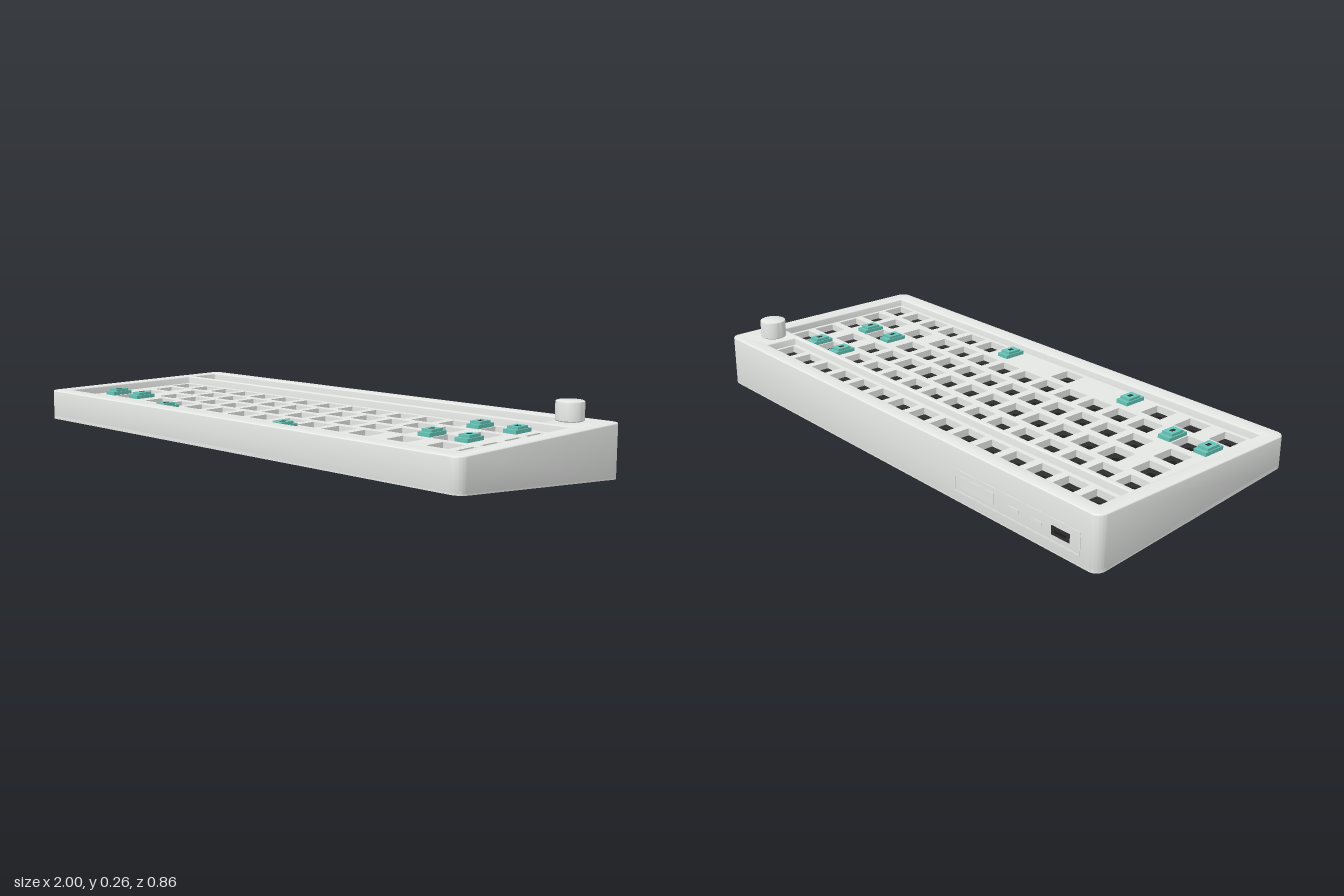
import * as THREE from 'three';
import { mergeGeometries, toCreasedNormals } from 'three/addons/utils/BufferGeometryUtils.js';

const U = 0.1172, FIRST = -0.879; // key pitch and first column centre
const TOP = 0.19, PLATE = 0.163, BOARD = 0.137;
const slope = z => 0.0415 + 0.0915 * z; // height of the tilted underside

const mat = (name, color) => Object.assign(new THREE.MeshStandardMaterial({ color }), { name });

// Rounded rectangle in plan; shape y is -z
function roundRect(x0, x1, z0, z1, r, Type = THREE.Shape) {
  const p = new Type(), a = -z1, b = -z0;
  p.moveTo(x0 + r, a);
  p.lineTo(x1 - r, a);
  p.absarc(x1 - r, a + r, r, -Math.PI / 2, 0);
  p.absarc(x1 - r, b - r, r, 0, Math.PI / 2);
  p.absarc(x0 + r, b - r, r, Math.PI / 2, Math.PI);
  p.absarc(x0 + r, a + r, r, Math.PI, Math.PI * 1.5);
  return p;
}

// Extrude a plan shape upward from y = 0
function slab(shape, height, bevel = 0) {
  const g = new THREE.ExtrudeGeometry(shape, {
    depth: height - 2 * bevel, curveSegments: 6, bevelEnabled: bevel > 0,
    bevelSize: bevel, bevelThickness: bevel, bevelOffset: -bevel, bevelSegments: 3,
  });
  g.translate(0, 0, bevel);
  g.rotateX(-Math.PI / 2);
  return g;
}

function mapY(g, rule) {
  const p = g.attributes.position;
  for (let i = 0; i < p.count; i++) p.setY(i, rule(p.getY(i), p.getZ(i)));
  g.computeVertexNormals();
  return toCreasedNormals(g, 0.6);
}

function box(w, h, d, x, y, z) {
  return new THREE.BoxGeometry(w, h, d).translate(x, y, z);
}

// Key centres per row, in key pitches from the first column
function layout() {
  const run = (start, n) => Array.from({ length: n }, (_, i) => start + i);
  const rows = [
    [-0.31, run(0, 15)],
    [-0.162, [...run(0, 13), 13.5, 15]],
    [-0.045, [0.25, ...run(1.5, 12), 13.75]],
    [0.073, [0.375, ...run(1.75, 11), 13.375, 15]],
    [0.19, [0.625, ...run(2.25, 10), 12.625, 14]],
    [0.307, [0.125, 1.375, 2.625, 6.375, ...run(10, 6)]],
  ];
  return rows.flatMap(([z, cols]) => cols.map(c => [FIRST + c * U, z]));
}

export function createModel() {
  const group = new THREE.Group();
  const shell = mat('shell grey', 0xe7e9e7);
  const dark = mat('socket charcoal', 0x2d2d2d);
  const black = mat('hub black', 0x1c1c1c);
  const teal = mat('stabilizer teal', 0x66c4b6);
  const add = (name, geometry, material) => {
    const m = new THREE.Mesh(geometry, material);
    m.name = name;
    group.add(m);
    return m;
  };

  // Wedge case with two openings, whose edges widen by the bevel at the top
  const e = 0.004;
  const outline = roundRect(-1, 1, -0.43, 0.43, 0.035);
  outline.holes.push(
    roundRect(-0.95 + e, 0.82 - e, -0.378 + e, -0.245 - e, 0.006, THREE.Path),
    roundRect(-0.95 + e, 0.94 - e, -0.232 + e, 0.37 - e, 0.006, THREE.Path));
  add('case', mapY(slab(outline, TOP, e), (y, z) => (y < 0.1 ? slope(z) + y : y)), shell);

  // Tilted bottom cover
  add('bottomCover', mapY(slab(roundRect(-1, 1, -0.43, 0.43, 0.035), 0.012),
    (y, z) => slope(z) - 0.001 + y), shell);

  // Rubber feet follow the slope
  for (const x of [-0.832, 0.832]) for (const z of [-0.328, 0.354]) {
    add('foot', mapY(slab(roundRect(x - 0.088, x + 0.088, z - 0.018, z + 0.018, 0.006), 0.01),
      (y, zz) => slope(zz) - 0.004 + y), dark);
  }

  // Mounting plate with a square cutout for each key
  const keys = layout();
  for (const z of [-0.045, 0.19]) keys.push([FIRST + 15 * U, z]);
  const plateShape = roundRect(-0.97, 0.97, -0.4, 0.4, 0.01);
  const h = 0.043;
  for (const [x, z] of keys) {
    plateShape.holes.push(roundRect(x - h, x + h, z - h, z + h, 0.002, THREE.Path));
  }
  add('mountingPlate', slab(plateShape, PLATE - BOARD).translate(0, BOARD, 0), shell);

  // Circuit board with a hub under each cutout
  add('circuitBoard', box(1.93, 0.03, 0.79, 0, BOARD - 0.014, 0), dark);
  const hubs = keys.map(([x, z]) =>
    new THREE.CylinderGeometry(0.013, 0.013, 0.005, 12).translate(x, BOARD + 0.003, z));
  add('socketHubs', mergeGeometries(hubs), black);

  // Stabilizer pairs beside the wide keys: column, row depth, half spacing
  for (const [c, z, half] of [[13.5, -0.162, 0.63], [13.375, 0.073, 0.63], [0.625, 0.19, 0.63], [6.375, 0.307, 2.625]]) {
    for (const s of [-1, 1]) {
      const x = FIRST + (c + s * half) * U;
      const body = [
        box(0.05, 0.03, 0.086, x, PLATE - 0.002, z),
        box(0.042, 0.016, 0.056, x, PLATE + 0.014, z),
      ];
      add('stabilizer', mergeGeometries(body), teal);
      add('stabilizerSlot', box(0.013, 0.004, 0.02, x, PLATE + 0.0205, z), dark);
    }
  }

  // Rotary knob on a short stem
  const knobProfile = [[0, 0.196], [0.045, 0.196], [0.048, 0.199], [0.048, 0.258], [0.047, 0.261], [0.044, 0.2625], [0, 0.2625]]
    .map(p => new THREE.Vector2(...p));
  const knob = toCreasedNormals(new THREE.LatheGeometry(knobProfile, 40), 0.6);
  add('knob', knob.translate(0.879, 0, -0.308), shell);
  add('knobStem', new THREE.CylinderGeometry(0.02, 0.02, 0.03, 20).translate(0.879, 0.187, -0.308), shell);

  // Rear connector panel: raised rim, cover and ports
  const back = -0.4288, py = 0.075, px = -0.65;
  const rim = [-1, 1].flatMap(s => [
    box(0.56, 0.005, 0.006, px, py + s * 0.037, back),
    box(0.005, 0.079, 0.006, px + s * 0.278, py, back),
  ]);
  add('rearPanelRim', mergeGeometries(rim), shell);
  add('rearPanelCover', box(0.155, 0.04, 0.006, px + 0.17, py, back), shell);
  for (const dx of [0, -0.1]) add('rearSwitch', box(0.045, 0.014, 0.006, px + dx, py, back), shell);
  add('rearPort', box(0.075, 0.03, 0.006, px - 0.2, py, back), dark);
  add('rearPortTongue', box(0.05, 0.008, 0.008, px - 0.2, py, back), black);

  return group;
}
